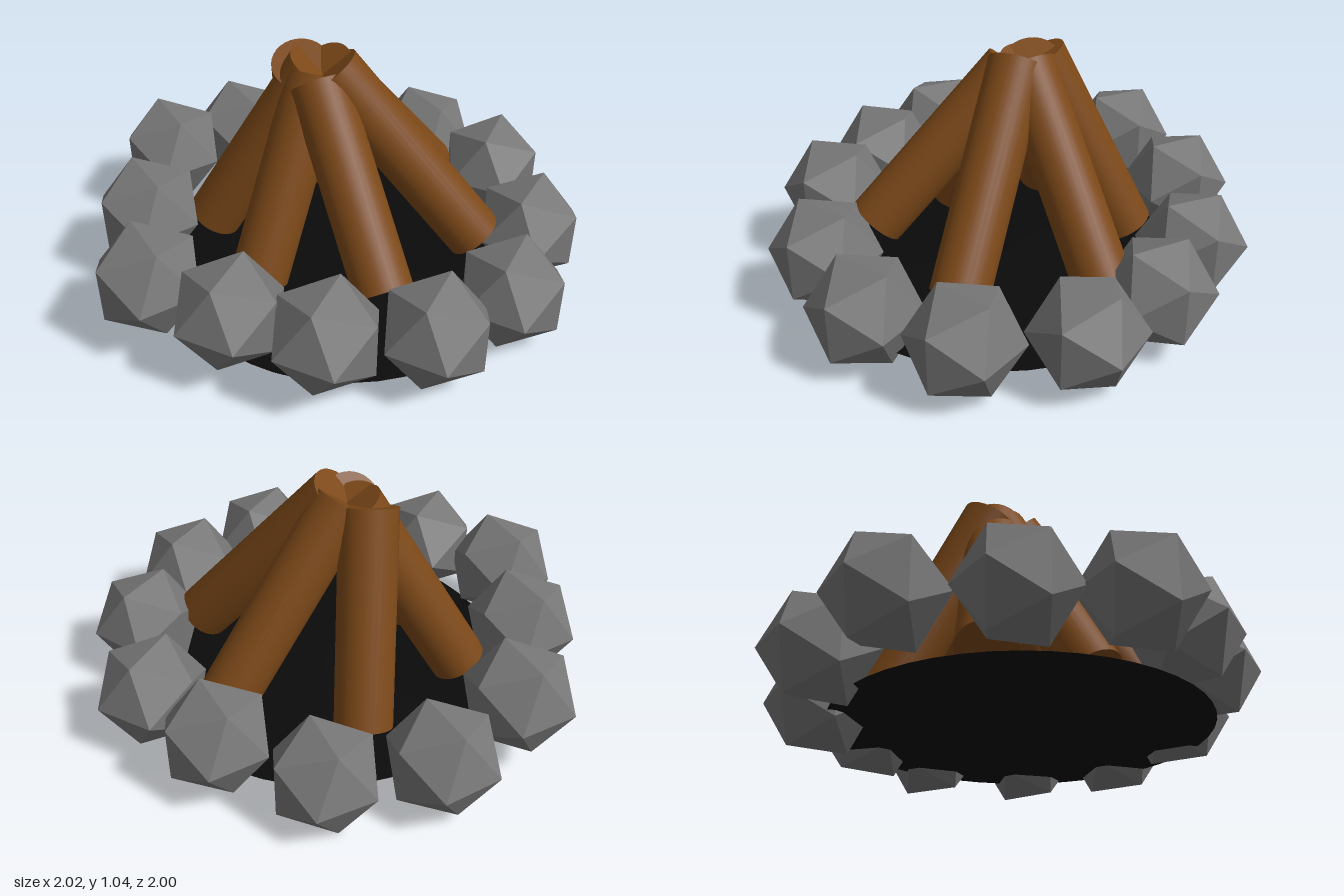
import * as THREE from 'three';

const stoneMat = new THREE.MeshStandardMaterial({ color: 0x777777, flatShading: true });
const logMat = new THREE.MeshStandardMaterial({ color: 0x7b4818 });
const ashMat = new THREE.MeshStandardMaterial({ color: 0x0a0a0a, side: THREE.DoubleSide });

// Stone centres and turn about the vertical axis: x, y, z, turn
const STONES = [
  [0, 0.2, -0.77, -1.08],
  [0.42, 0.24, -0.63, -1.0],
  [0.71, 0.24, -0.38, 1.14],
  [0.81, 0.24, 0.06, 1.02],
  [0.68, 0.24, 0.46, 1.08],
  [0.36, 0.27, 0.7, 1.09],
  [-0.05, 0.315, 0.76, 1.12],
  [-0.41, 0.315, 0.63, 1.12],
  [-0.74, 0.315, 0.44, -1.03],
  [-0.79, 0.315, 0.02, -1.0],
  [-0.74, 0.315, -0.43, -1.04],
  [-0.44, 0.24, -0.7, -1.0],
];

// Log axes: foot, then top
const LOGS = [
  [[-0.14, 0.18, -0.485], [-0.14, 0.955, -0.095]],
  [[0.42, 0.22, -0.43], [-0.04, 0.95, -0.06]],
  [[-0.53, 0.2, -0.09], [-0.08, 0.95, -0.08]],
  [[-0.32, 0.19, 0.3], [-0.08, 0.93, -0.06]],
  [[0.17, 0.31, 0.53], [-0.07, 0.92, 0]],
  [[0.57, 0.25, 0.12], [-0.02, 0.965, -0.03]],
];

function makeLog(foot, top, radius) {
  const a = new THREE.Vector3(...foot);
  const b = new THREE.Vector3(...top);
  const axis = b.clone().sub(a);
  const log = new THREE.Mesh(new THREE.CylinderGeometry(radius, radius, axis.length(), 32), logMat);
  log.position.copy(a).add(b).multiplyScalar(0.5);
  log.quaternion.setFromUnitVectors(new THREE.Vector3(0, 1, 0), axis.normalize());
  return log;
}

export function createModel() {
  const campfire = new THREE.Group();
  campfire.name = 'campfire';

  // Flat bed of ash
  const ash = new THREE.Mesh(new THREE.CircleGeometry(0.77, 48), ashMat);
  ash.name = 'ashBed';
  ash.rotation.x = -Math.PI / 2;
  ash.position.set(0.04, 0.1, 0.03);
  campfire.add(ash);

  // Ring of faceted stones
  const ring = new THREE.Group();
  ring.name = 'stoneRing';
  const stoneGeo = new THREE.IcosahedronGeometry(0.235, 0);
  STONES.forEach(([x, y, z, turn], i) => {
    const stone = new THREE.Mesh(stoneGeo, stoneMat);
    stone.name = `stone${i + 1}`;
    stone.position.set(x, y, z);
    stone.rotation.y = turn;
    ring.add(stone);
  });
  campfire.add(ring);

  // Logs leaning together
  const logs = new THREE.Group();
  logs.name = 'logPile';
  LOGS.forEach(([foot, top], i) => {
    const log = makeLog(foot, top, 0.118);
    log.name = `log${i + 1}`;
    logs.add(log);
  });
  campfire.add(logs);

  return campfire;
}
